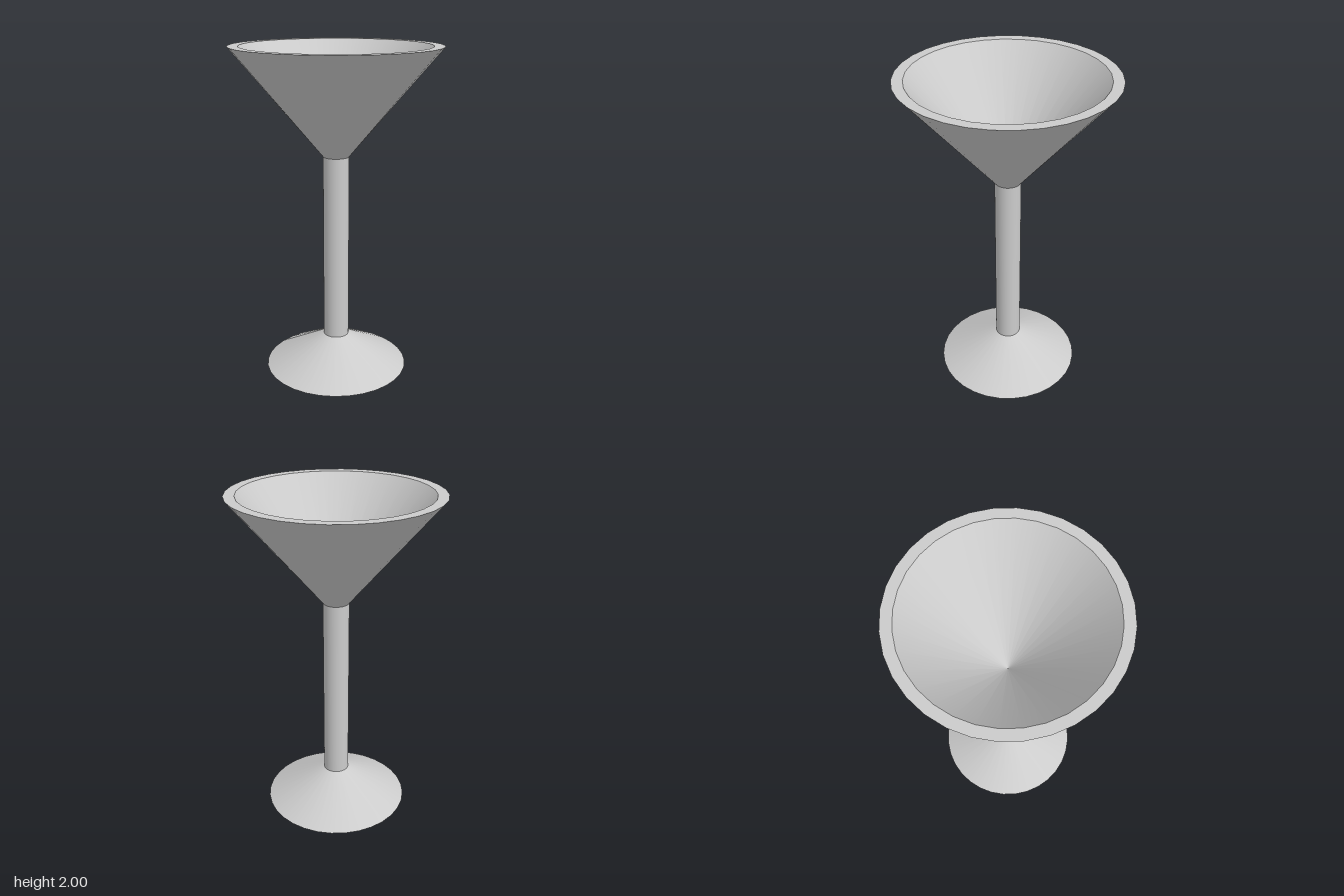
import * as THREE from 'three';

const SEGMENTS = 32;
const material = new THREE.MeshStandardMaterial({ color: 0xcccccc });

// Each straight run of the profile is its own lathe, so edges stay crisp and walls smooth.
function turned(name, profile) {
  const part = new THREE.Group();
  part.name = name;
  for (let i = 0; i < profile.length - 1; i++) {
    const points = [profile[i], profile[i + 1]].map(([r, y]) => new THREE.Vector2(r, y));
    const mesh = new THREE.Mesh(new THREE.LatheGeometry(points, SEGMENTS), material);
    mesh.name = `${name}Surface${i + 1}`;
    part.add(mesh);
  }
  return part;
}

export function createModel() {
  const glass = new THREE.Group();
  glass.name = 'cocktailGlass';

  const stemRadius = 0.078, footTop = 0.2, bowlBottom = 1.355;

  // Foot: flat underside and sloping top
  glass.add(turned('foot', [[0, 0], [0.443, 0], [stemRadius, footTop]]));

  // Stem
  glass.add(turned('stem', [[stemRadius, footTop], [stemRadius, bowlBottom]]));

  // Bowl: outer wall, flat rim and inner cone down to a point
  glass.add(turned('bowl', [[stemRadius, bowlBottom], [0.617, 2], [0.555, 2], [0, 1.34]]));

  return glass;
}
